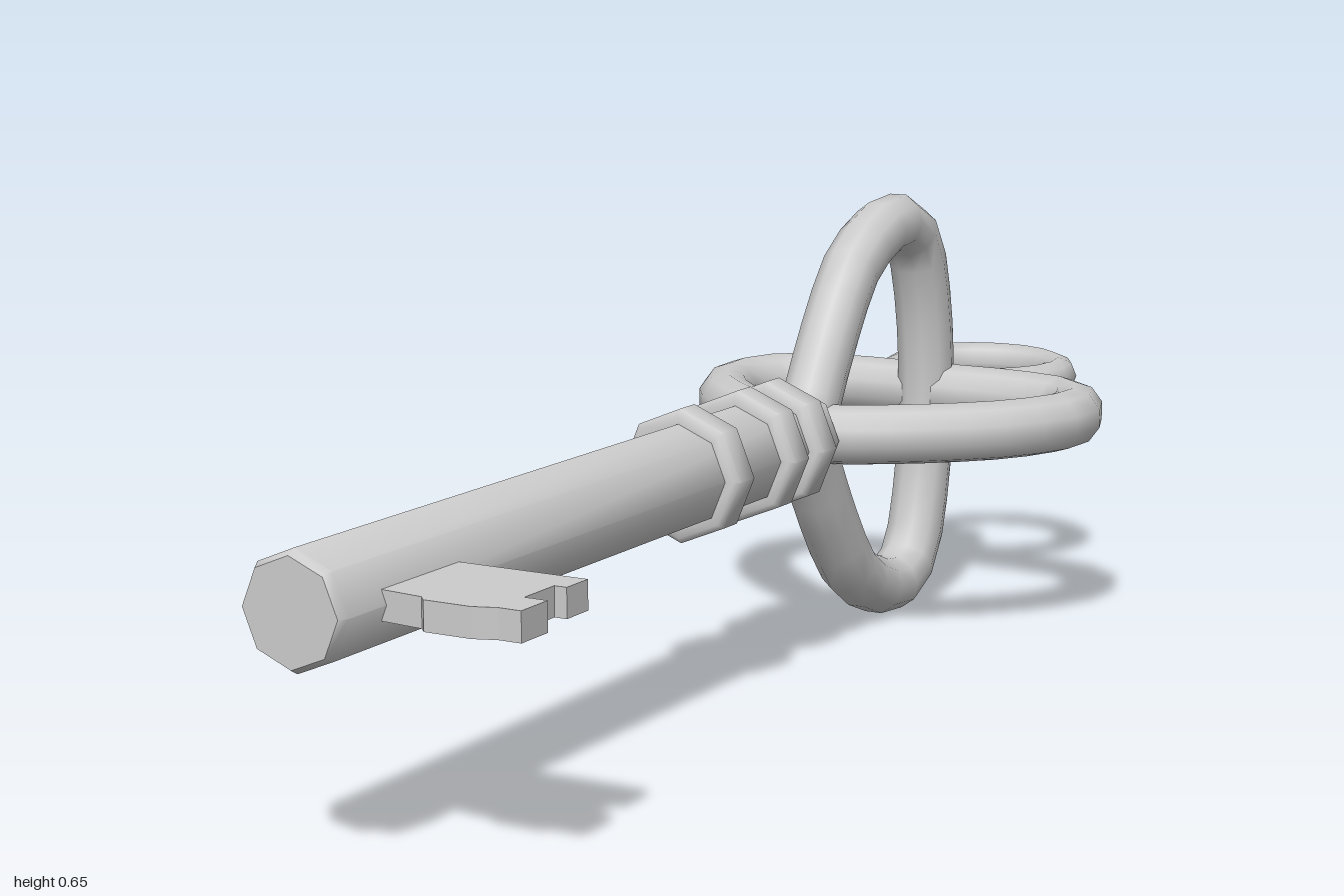
import * as THREE from 'three';
import { toCreasedNormals } from 'three/addons/utils/BufferGeometryUtils.js';

const material = new THREE.MeshStandardMaterial({ color: 0xcccccc });
const AXIS_X = -0.013, AXIS_Y = 0.332;

function addPart(group, name, geometry, x = 0, y = AXIS_Y, z = 0) {
  const mesh = new THREE.Mesh(geometry, material);
  mesh.name = name;
  mesh.position.set(x, y, z);
  group.add(mesh);
  return mesh;
}

// Eight-sided turned piece lying along z; profile is [radius, z] from back to front
function turned(profile) {
  const points = profile.map(([r, z]) => new THREE.Vector2(r, z));
  const geometry = new THREE.LatheGeometry(points, 8).rotateX(Math.PI / 2);
  return toCreasedNormals(geometry, 0.85);
}

// Closed heart-shaped tube, mirrored from the right half given as [x, z]
function bowLoop(half) {
  const right = half.map(([x, z]) => new THREE.Vector3(x, 0, z));
  const left = half.slice(1, -1).reverse().map(([x, z]) => new THREE.Vector3(-x, 0, z));
  const curve = new THREE.CatmullRomCurve3([...right, ...left], true);
  return new THREE.TubeGeometry(curve, 28, 0.0445, 10, true);
}

export function createModel() {
  const key = new THREE.Group();
  key.name = 'key';

  // Shaft with a slightly bevelled front end
  addPart(key, 'shaft', turned([
    [0, -0.225], [0.074, -0.225], [0.075, 0.985], [0.068, 0.997], [0, 0.997],
  ]), AXIS_X);

  // Three bevelled collars
  for (const z of [0.087, -0.073, -0.158]) {
    const w = 0.026, b = 0.007;
    addPart(key, 'collar', turned([
      [0.07, -w], [0.087, -w], [0.095, -w + b], [0.095, w - b], [0.087, w], [0.07, w],
    ]), AXIS_X, AXIS_Y, z);
  }

  // Two crossed bow loops
  addPart(key, 'horizontalBow', bowLoop([
    [0, -0.25], [0.06, -0.275], [0.155, -0.34], [0.245, -0.435],
    [0.285, -0.545], [0.248, -0.635], [0.15, -0.667], [0, -0.667],
  ]), 0, 0.333);
  addPart(key, 'verticalBow', bowLoop([
    [0, -0.25], [0.06, -0.28], [0.15, -0.335], [0.24, -0.41],
    [0.285, -0.535], [0.255, -0.603], [0.16, -0.643], [0, -0.66],
  ]), -0.01, 0.33).rotation.z = Math.PI / 2;

  // Hanging ring
  addPart(key, 'ring', new THREE.TorusGeometry(0.129, 0.03, 8, 18).rotateX(Math.PI / 2),
    -0.003, 0.334, -0.841);

  // Notched bit on the left side, outlined in [x, z]
  const outline = [
    [0.03, 0.75], [0.236, 0.75], [0.236, 0.797], [0.219, 0.797], [0.219, 0.861], [0.251, 0.861],
    [0.251, 0.917], [0.22, 0.917], [0.19, 0.928], [0.125, 0.928], [0.115, 0.917], [0.03, 0.908],
  ];
  const shape = new THREE.Shape(outline.map(([x, z]) => new THREE.Vector2(x, -z)));
  const bit = new THREE.ExtrudeGeometry(shape, { depth: 0.038, bevelEnabled: false });
  addPart(key, 'bit', bit.rotateX(-Math.PI / 2), 0, 0.312);

  return key;
}
